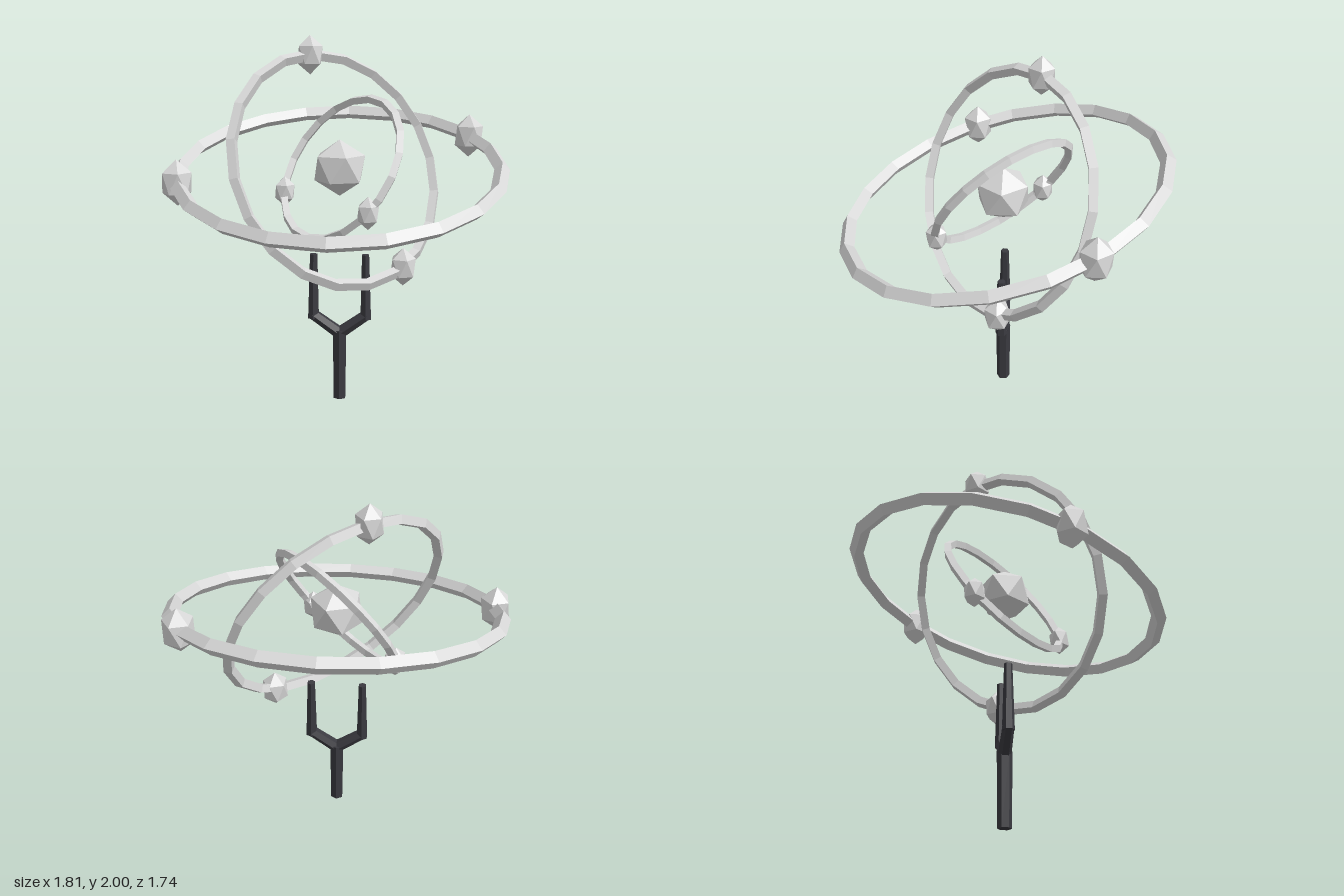
import * as THREE from 'three';
import { ConvexGeometry } from 'three/addons/geometries/ConvexGeometry.js';

const RAD = Math.PI / 180;
const CENTRE_X = 0.005;
const CENTRE_Y = 1.307;

// Separate the faces so that every facet is flat
function faceted(geometry) {
  const g = geometry.toNonIndexed();
  g.computeVertexNormals();
  return g;
}

// Twenty-sided gem standing on one corner
function gemGeometry(radius, stretch = 1) {
  const h = radius / Math.sqrt(5), r = 2 * h;
  const points = [new THREE.Vector3(0, radius, 0), new THREE.Vector3(0, -radius, 0)];
  for (let i = 0; i < 10; i++) {
    const a = i * 36 * RAD;
    points.push(new THREE.Vector3(r * Math.cos(a), i % 2 ? -h : h, r * Math.sin(a)));
  }
  return new ConvexGeometry(points).scale(1, stretch, 1);
}

export function createModel() {
  const model = new THREE.Group();
  model.name = 'orbitStand';
  const grey = new THREE.MeshStandardMaterial({ color: 0xd8d8d8 });
  grey.name = 'paleGrey';
  const dark = new THREE.MeshStandardMaterial({ color: 0x3a3a40 });
  dark.name = 'darkIron';

  function add(name, geometry, material, parent) {
    const mesh = new THREE.Mesh(geometry, material);
    mesh.name = name;
    parent.add(mesh);
    return mesh;
  }

  // Rings and centre gem share one middle point
  const orbits = new THREE.Group();
  orbits.name = 'orbits';
  orbits.position.set(CENTRE_X, CENTRE_Y, 0);
  model.add(orbits);
  add('centreGem', gemGeometry(0.152), grey, orbits);

  // Each ring: diamond section, tilted then turned, carrying two upright gems
  const rings = [
    { name: 'outer', radius: 0.86, tube: 0.041, tilt: 15, turn: 0, gem: 0.089, at: [-34, 165.5] },
    { name: 'middle', radius: 0.64, tube: 0.032, tilt: 67, turn: 40, gem: 0.077, at: [-91.5, 66] },
    { name: 'inner', radius: 0.415, tube: 0.026, tilt: 59, turn: -47, gem: 0.062, at: [30, 152] },
  ];
  for (const { name, radius, tube, tilt, turn, gem, at } of rings) {
    const euler = new THREE.Euler(tilt * RAD, turn * RAD, 0, 'YXZ');
    const torus = new THREE.TorusGeometry(radius, tube, 4, 20).rotateX(Math.PI / 2);
    add(name + 'Ring', faceted(torus), grey, orbits).rotation.copy(euler);
    at.forEach((angle, i) => {
      const a = angle * RAD;
      const mesh = add(name + 'Gem' + (i + 1), gemGeometry(gem, 1.37), grey, orbits);
      mesh.position.set(radius * Math.cos(a), 0, radius * Math.sin(a)).applyEuler(euler);
    });
  }

  // Forked stand
  const stand = new THREE.Group();
  stand.name = 'stand';
  stand.position.x = CENTRE_X;
  model.add(stand);

  // Tapered six-sided bar between two points
  function bar(name, from, to, r0, r1) {
    const a = new THREE.Vector3(...from), b = new THREE.Vector3(...to);
    const dir = b.clone().sub(a);
    const mesh = add(name, faceted(new THREE.CylinderGeometry(r1, r0, dir.length(), 6)), dark, stand);
    mesh.position.copy(a).add(b).multiplyScalar(0.5);
    mesh.quaternion.setFromUnitVectors(new THREE.Vector3(0, 1, 0), dir.normalize());
  }

  bar('post', [0, 0, 0], [0, 0.4, 0], 0.037, 0.041);
  for (const [side, s] of [['left', 1], ['right', -1]]) {
    bar(side + 'Arm', [0, 0.38, 0], [s * 0.15, 0.488, 0], 0.035, 0.031);
    bar(side + 'Prong', [s * 0.145, 0.465, 0], [s * 0.142, 0.83, 0], 0.033, 0.022);
  }
  return model;
}
